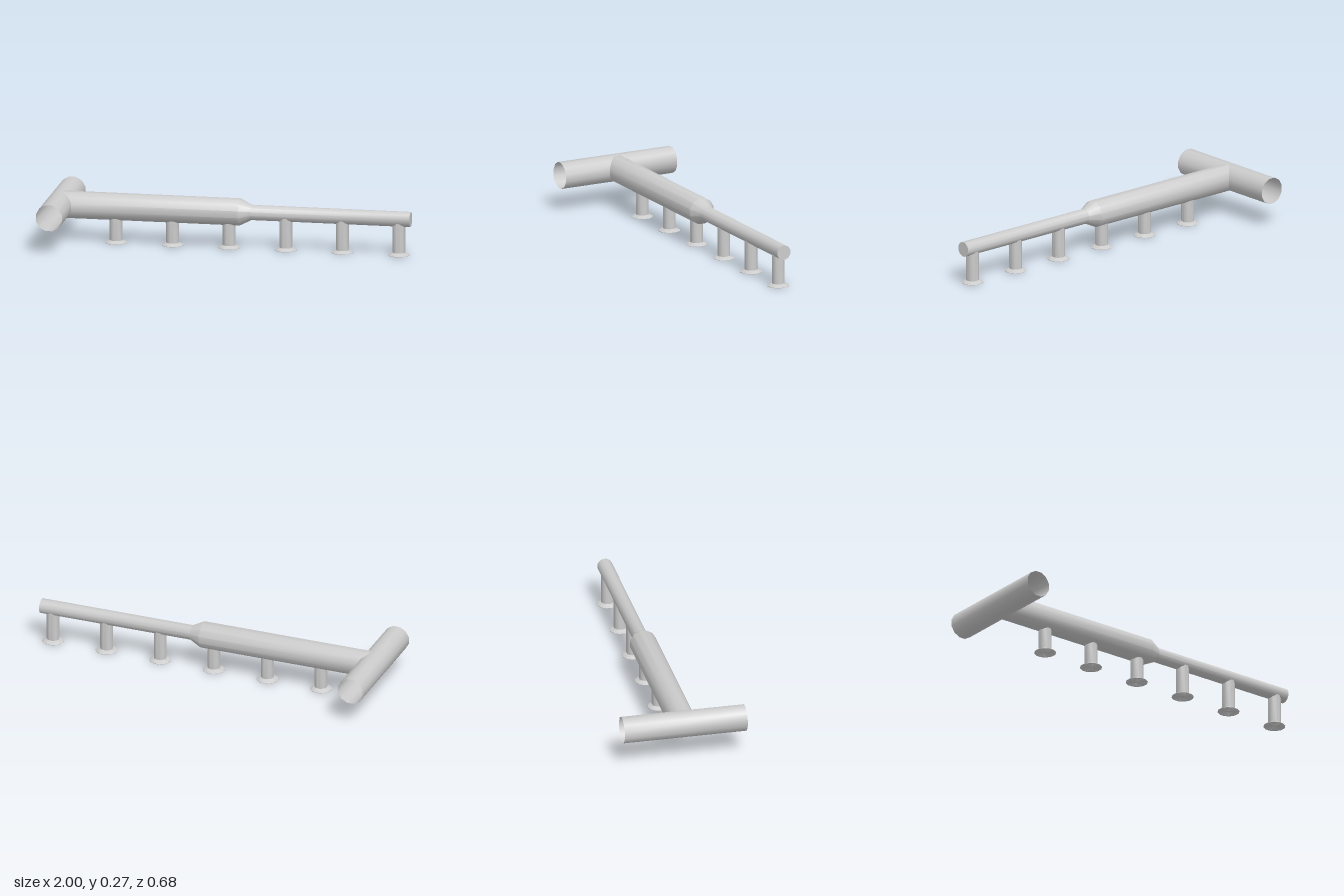
import * as THREE from 'three';
import { toCreasedNormals } from 'three/addons/utils/BufferGeometryUtils.js';

const SIDES = 12;
const AXIS_Y = 0.2;      // height of the pipe axes
const R_MAIN = 0.074;    // corner radius of the wide pipes
const R_THIN = 0.0414;   // corner radius of the narrow pipe
const R_LEG = 0.0352;
const CROSS_X = -0.9285;
const CROSS_HALF = 0.341;

const material = new THREE.MeshStandardMaterial({ color: 0xcccccc, side: THREE.DoubleSide });

// Twelve-sided turned shape with flats facing the axes; profile is [radius, height].
function turned(profile) {
  const points = profile.map(([r, y]) => new THREE.Vector2(r, y));
  return new THREE.LatheGeometry(points, SIDES, Math.PI / SIDES);
}

function addMesh(parent, name, geometry) {
  const mesh = new THREE.Mesh(toCreasedNormals(geometry, 0.6), material);
  mesh.name = name;
  parent.add(mesh);
  return mesh;
}

// Move each vertex by a rule.
function bend(geometry, rule) {
  const pos = geometry.attributes.position;
  const v = new THREE.Vector3();
  for (let i = 0; i < pos.count; i++) {
    rule(v.fromBufferAttribute(pos, i));
    pos.setXYZ(i, v.x, v.y, v.z);
  }
  return geometry;
}

// Leg with a flared foot, ringed underside and saddle-cut top.
function legGeometry(pipeRadius) {
  const profile = [[0, 0.003]];
  for (let i = 1; i <= 4; i++) {
    const r = i * 0.0125;
    profile.push([r - 0.006, 0.003], [r - 0.004, 0], [r, 0], [r + 0.002, 0.003]);
  }
  profile.push([0.054, 0], [0.06, 0], [0.06, 0.002], [R_LEG, 0.015], [R_LEG, AXIS_Y]);
  return bend(turned(profile), (v) => {
    if (v.y > 0.1) v.y = AXIS_Y - Math.sqrt(pipeRadius ** 2 - v.z ** 2) + 0.004;
  });
}

export function createModel() {
  const group = new THREE.Group();
  group.name = 'pipeManifold';

  // Open-ended cross pipe
  const cross = turned([[R_MAIN, -CROSS_HALF], [R_MAIN, CROSS_HALF]]);
  cross.rotateX(Math.PI / 2);
  addMesh(group, 'crossPipe', cross).position.set(CROSS_X, AXIS_Y, 0);

  // Wide pipe, reducer and narrow pipe with a closed end, mitred onto the cross pipe
  const main = turned([
    [R_MAIN, -0.9], [R_MAIN, 0.06], [R_THIN, 0.125], [R_THIN, 1], [0, 1],
  ]);
  main.rotateZ(-Math.PI / 2);
  bend(main, (v) => {
    if (v.x < -0.5) v.x = CROSS_X + Math.abs(v.z);
  });
  addMesh(group, 'mainPipe', main).position.y = AXIS_Y;

  // Six evenly spaced legs
  for (let i = 0; i < 6; i++) {
    const x = -0.623 + i * 0.3115;
    const leg = legGeometry(x < 0.06 ? R_MAIN : R_THIN);
    addMesh(group, `leg${i + 1}`, leg).position.x = x;
  }
  return group;
}
